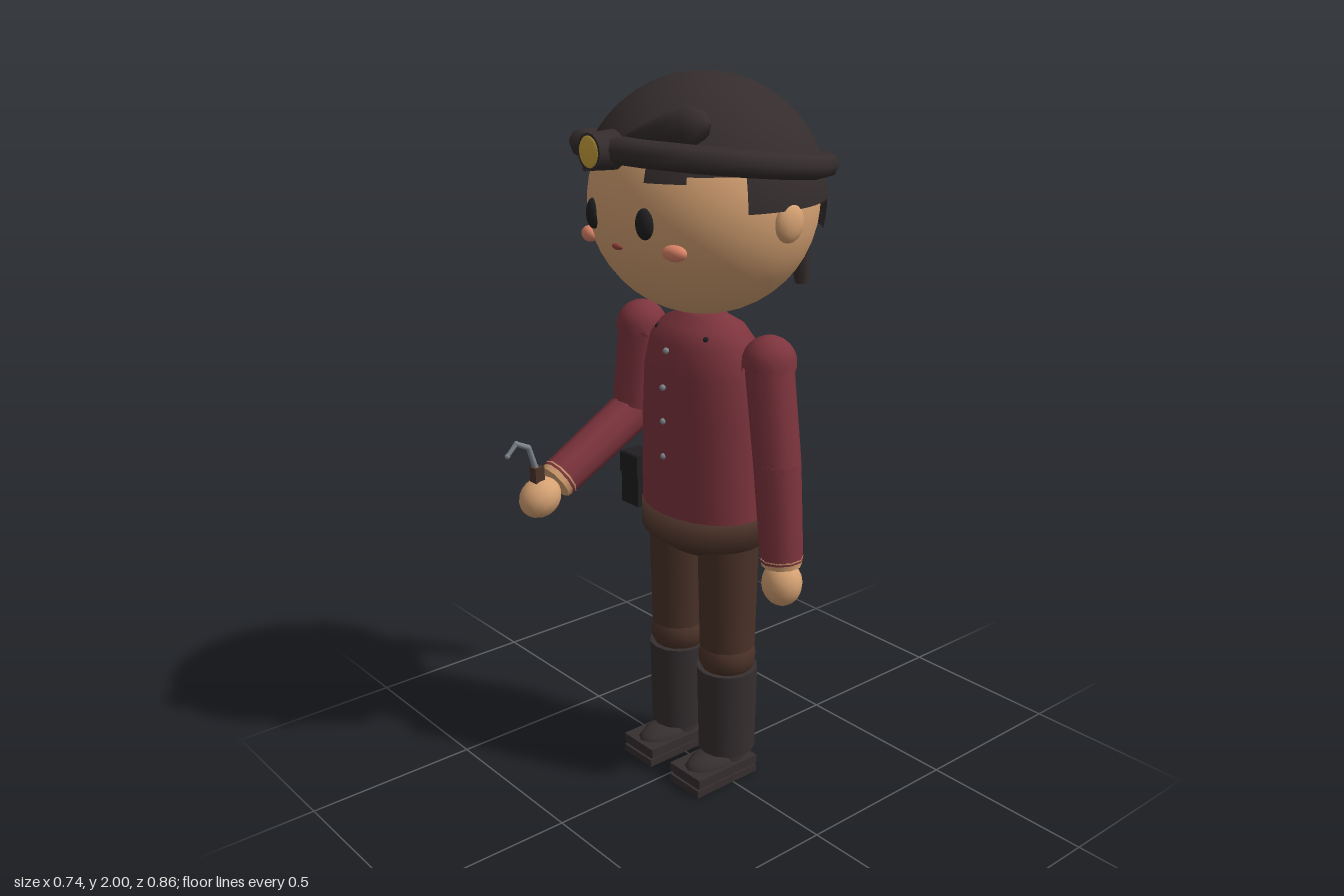
import * as THREE from 'three';

const mat = (name, color, side = THREE.FrontSide) => {
  const m = new THREE.MeshStandardMaterial({ color, side });
  m.name = name;
  return m;
};

export function createModel() {
  const skin = mat('skin', 0xd6a273);
  const red = mat('jacketRed', 0x7d343d, THREE.DoubleSide);
  const dark = mat('hatAndHair', 0x352d2d, THREE.DoubleSide);
  const brown = mat('trouserBrown', 0x4a3228);
  const boot = mat('bootGrey', 0x362f30);
  const black = mat('black', 0x211f21);
  const gold = mat('lampGold', 0xc9a23c);
  const steel = mat('steel', 0x7c838a);
  const pink = mat('cheekPink', 0xdc8468);
  const lip = mat('lipRed', 0x98443c);

  const model = new THREE.Group();
  const body = new THREE.Group();
  body.name = 'figure';
  body.position.set(-0.015, 0, -0.028);
  model.add(body);

  const V = (x, y, z) => new THREE.Vector3(x, y, z);
  const add = (name, geo, material, x = 0, y = 0, z = 0, parent = body) => {
    const m = new THREE.Mesh(geo, material);
    m.name = name;
    m.position.set(x, y, z);
    parent.add(m);
    return m;
  };
  const ball = (name, material, p, r, seg = 14, parent = body) => {
    const m = add(name, new THREE.SphereGeometry(1, seg, Math.ceil(seg * 0.7)), material, p[0], p[1], p[2], parent);
    m.scale.set(r[0], r[1], r[2]);
    return m;
  };
  // tapered round limb from a to b
  const limb = (name, material, a, b, ra, rb, seg = 12) => {
    const dir = b.clone().sub(a);
    const m = add(name, new THREE.CylinderGeometry(rb, ra, dir.length(), seg), material);
    m.position.copy(a).addScaledVector(dir, 0.5);
    m.quaternion.setFromUnitVectors(V(0, 1, 0), dir.normalize());
    return m;
  };
  const lathe = (name, material, pts, depth) => {
    const geo = new THREE.LatheGeometry(pts.map(p => new THREE.Vector2(p[0], p[1])), 24);
    add(name, geo, material).scale.z = depth;
  };

  // torso: jacket and trouser top
  lathe('jacket', red, [[0.202, 0.81], [0.203, 0.9], [0.198, 1.1], [0.192, 1.22], [0.173, 1.3],
    [0.135, 1.345], [0.08, 1.37], [0.072, 1.385], [0, 1.385]], 0.71);
  lathe('trouserTop', brown, [[0, 0.70], [0.13, 0.70], [0.205, 0.74], [0.207, 0.82], [0, 0.82]], 0.71);
  [1.285, 1.185, 1.09, 0.99].forEach(y => ball('button', steel, [0, y, y > 1.25 ? 0.13 : 0.142], [0.009, 0.009, 0.009], 8));
  for (const s of [-1, 1]) ball('collarStud', black, [s * 0.1, 1.325, 0.075], [0.009, 0.009, 0.009], 8);
  add('pouch', new THREE.BoxGeometry(0.075, 0.155, 0.065), black, -0.197, 0.86, 0.075);
  add('pouchFlap', new THREE.BoxGeometry(0.08, 0.06, 0.072), black, -0.197, 0.905, 0.075);

  // legs, boots and shoes
  for (const s of [-1, 1]) {
    const x = s * 0.108;
    limb('thigh', brown, V(x, 0.42, 0), V(x, 0.74, 0), 0.08, 0.087, 14);
    ball('knee', brown, [x, 0.385, 0], [0.083, 0.075, 0.083]);
    limb('bootShaft', boot, V(x, 0.09, 0), V(x, 0.35, 0), 0.083, 0.088, 14);
    limb('ankle', boot, V(x, 0.04, 0), V(x, 0.1, 0), 0.058, 0.055);
    add('sole', new THREE.BoxGeometry(0.125, 0.022, 0.225), boot, x, 0.011, 0.05);
    add('shoe', new THREE.BoxGeometry(0.133, 0.026, 0.22), boot, x, 0.044, 0.05);
    add('shoeWelt', new THREE.BoxGeometry(0.115, 0.012, 0.21), boot, x, 0.026, 0.05);
    ball('shoeTop', boot, [x, 0.05, 0.05], [0.058, 0.04, 0.1], 12);
  }

  // arms with ruffled shoulder caps
  const arm = (side, shoulder, elbow, wrist, hand) => {
    ball(side + 'Shoulder', red, shoulder.toArray(), [0.065, 0.068, 0.065]);
    const cap = new THREE.SphereGeometry(0.073, 20, 6, 0, Math.PI * 2, 0, Math.PI * 0.52);
    const p = cap.attributes.position;
    for (let i = 6 * 21; i < 7 * 21; i++) if (i % 2) p.setY(i, p.getY(i) - 0.018);
    cap.computeVertexNormals();
    add(side + 'ShoulderRuffle', cap, red, shoulder.x, shoulder.y, shoulder.z);
    limb(side + 'UpperArm', red, shoulder, elbow, 0.065, 0.064, 10);
    ball(side + 'Elbow', red, elbow.toArray(), [0.063, 0.063, 0.063], 12);
    limb(side + 'Forearm', red, elbow, wrist, 0.064, 0.058, 10);
    limb(side + 'Cuff', skin, wrist.clone().lerp(elbow, 0.04), wrist.clone().lerp(hand, 0.2), 0.059, 0.054, 10);
    const h = ball(side + 'Hand', skin, hand.toArray(), [0.057, 0.064, 0.055]);
    h.quaternion.setFromUnitVectors(V(0, 1, 0), hand.clone().sub(wrist).normalize());
  };
  arm('left', V(0.263, 1.285, 0), V(0.3, 1.02, 0), V(0.325, 0.75, 0), V(0.327, 0.685, 0));
  arm('right', V(-0.268, 1.285, 0), V(-0.297, 1.03, 0.01), V(-0.297, 0.875, 0.285), V(-0.297, 0.835, 0.35));

  // hooked hand tool
  add('toolHandle', new THREE.BoxGeometry(0.03, 0.055, 0.03), lip, -0.297, 0.9, 0.357).material = brown;
  const hook = [V(-0.297, 0.91, 0.357), V(-0.297, 0.99, 0.382), V(-0.297, 1.01, 0.422), V(-0.297, 0.98, 0.452)];
  for (let i = 0; i < 3; i++) {
    limb('toolHook', steel, hook[i], hook[i + 1], 0.009 - i * 0.001, 0.008 - i * 0.001, 8);
    ball('toolJoint', steel, hook[i + 1].toArray(), [0.008, 0.008, 0.008], 8);
  }

  // head and face
  const head = new THREE.Group();
  head.name = 'head';
  head.position.y = 1.675;
  body.add(head);
  ball('skull', skin, [0, 0, 0], [0.315, 0.3, 0.3], 32, head);
  for (const s of [-1, 1]) {
    ball('ear', skin, [s * 0.312, -0.022, -0.012], [0.025, 0.052, 0.046], 12, head);
    ball('eye', black, [s * 0.105, -0.02, 0.279], [0.026, 0.04, 0.02], 14, head).rotation.y = s * 0.3;
    ball('cheek', pink, [s * 0.175, -0.087, 0.243], [0.036, 0.021, 0.02], 12, head).rotation.y = s * 0.3;
  }
  ball('mouth', lip, [0, -0.09, 0.284], [0.021, 0.009, 0.01], 10, head);

  // hair: stepped shell pieces; angles in degrees from the front, low edge in y
  const hair = (name, a0, a1, low) => {
    const r = 0.325, rad = Math.PI / 180;
    const top = 0.105 + 0.03 * Math.cos((a0 + a1) / 2 * rad);
    const t0 = Math.acos(top / r), t1 = Math.acos(low / r);
    add(name, new THREE.SphereGeometry(r, 10, 5, Math.PI / 2 + a0 * rad, (a1 - a0) * rad, t0, t1 - t0),
      dark, 0, 0, 0, head);
  };
  for (const s of [-1, 1]) {
    const piece = (name, a, b, low) => (s > 0 ? hair(name, a, b, low) : hair(name, -b, -a, low));
    piece('fringe', 22, 42, 0.083);
    piece('templeHair', 42, 69, 0.1);
    piece('sideHair', 69, 137, 0.01);
  }
  hair('backHair', 137, 223, -0.075);

  // ponytail
  ball('hairTie', red, [0, 0.045, -0.335], [0.03, 0.03, 0.025], 10, head);
  const tail = limb('ponytail', dark, V(0, 1.4, -0.375), V(0, 1.69, -0.33), 0.022, 0.046, 8);
  tail.geometry.computeVertexNormals();

  // hat, tipped back
  const hat = new THREE.Group();
  hat.name = 'hat';
  hat.rotation.x = -0.115;
  head.add(hat);
  add('hatCrown', new THREE.SphereGeometry(0.328, 32, 12, 0, Math.PI * 2, 0, 1.27), dark, 0, 0, 0, hat);
  const brim = new THREE.TorusGeometry(0.32, 0.034, 8, 16).rotateX(Math.PI / 2);
  add('hatBrim', brim, dark, 0, 0.118, 0.013, hat);

  // folded flap on the crown, drawn as a teardrop
  const flap = new THREE.LatheGeometry([[0, -0.13], [0.025, -0.08], [0.05, 0], [0.06, 0.06], [0.04, 0.1], [0, 0.12]]
    .map(p => new THREE.Vector2(p[0], p[1])), 10);
  const flapMesh = add('hatFlap', flap, dark, 0.128, 0.205, 0.222, head);
  flapMesh.scale.set(0.85, 1, 0.75);
  flapMesh.quaternion.setFromUnitVectors(V(0, 1, 0), V(0.23, 0.045, -0.09).normalize());

  // head lamp
  const lamp = new THREE.CylinderGeometry(0.046, 0.05, 0.075, 16).rotateX(Math.PI / 2);
  add('lampHousing', lamp, dark, 0, 0.152, 0.33, head);
  ball('lampLens', gold, [0, 0.152, 0.366], [0.04, 0.04, 0.008], 16, head);

  return model;
}
